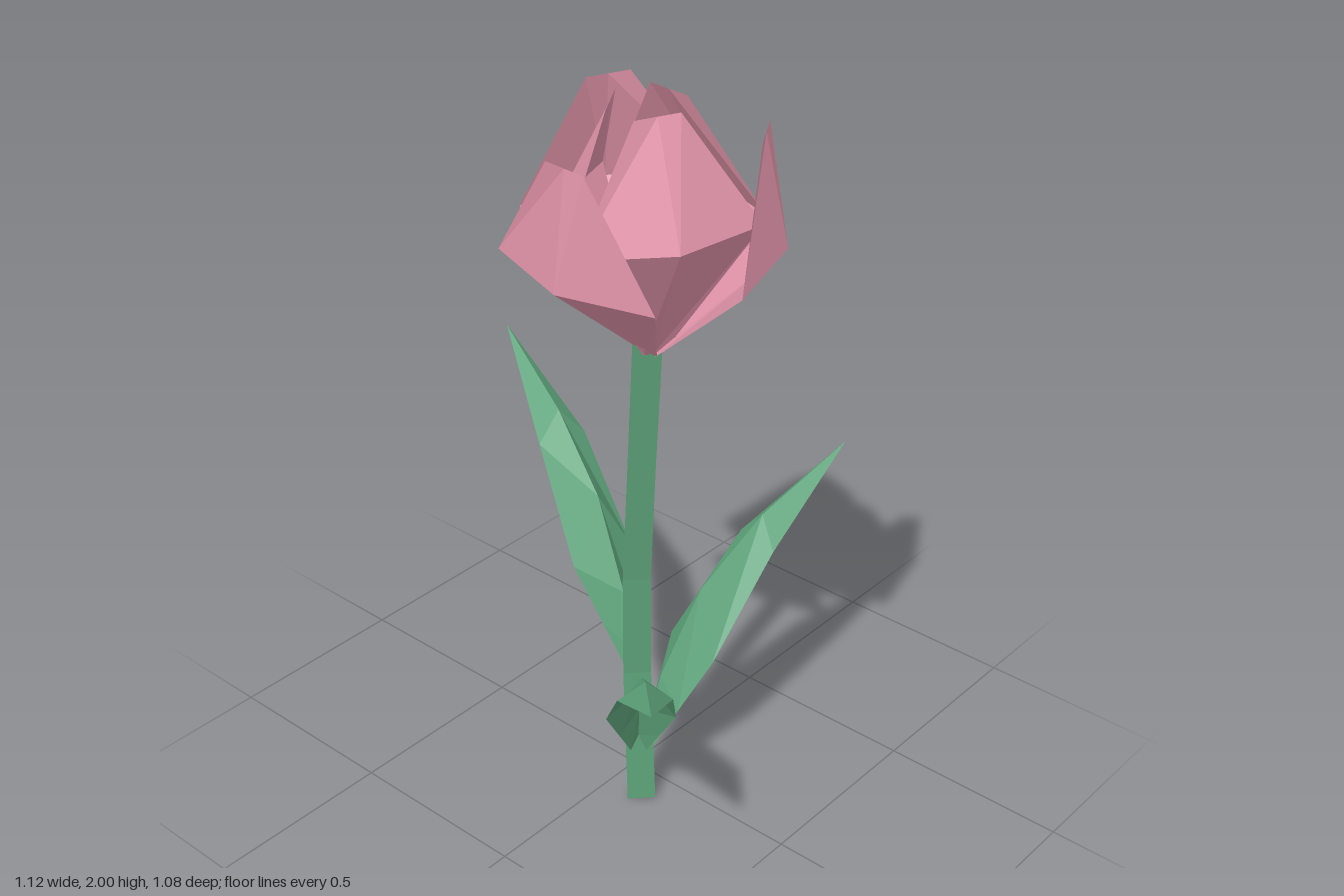
import * as THREE from 'three';

const green = new THREE.MeshStandardMaterial({ color: 0x5fa57c, flatShading: true, side: THREE.DoubleSide });
const pink = new THREE.MeshStandardMaterial({ color: 0xe596ac, flatShading: true, side: THREE.DoubleSide });

// Faceted surface through rows of points, each row having the same count
function loft(name, rows, material) {
  const n = rows[0].length;
  const index = [];
  for (let i = 0; i < rows.length - 1; i++) {
    for (let j = 0; j < n - 1; j++) {
      const a = i * n + j, b = a + 1, c = a + n, d = c + 1;
      index.push(a, b, d, a, d, c);
    }
  }
  const indexed = new THREE.BufferGeometry();
  indexed.setAttribute('position', new THREE.Float32BufferAttribute(rows.flat(2), 3));
  indexed.setIndex(index);
  const geometry = indexed.toNonIndexed();
  geometry.computeVertexNormals();
  const mesh = new THREE.Mesh(geometry, material);
  mesh.name = name;
  return mesh;
}

// Point at distance r along a horizontal direction, shifted sideways by w
function polar(angle, r, w, y) {
  const c = Math.cos(angle), s = Math.sin(angle);
  return [c * r + s * w, y, s * r - c * w];
}

// Curved three-sided stem
function makeStem() {
  const path = [
    // x, y, z, radius
    [-0.085, 0, 0.097, 0.042],
    [-0.083, 0.4, 0.08, 0.041],
    [-0.1, 0.7, 0.093, 0.04],
    [-0.122, 1.06, 0.128, 0.039],
    [-0.147, 1.42, 0.167, 0.04],
  ];
  const rows = path.map(([x, y, z, r]) =>
    [0, 1, 2, 3].map((k) => {
      const a = 1.29 - (k * Math.PI * 2) / 3;
      return [x + r * Math.cos(a), y, z + r * Math.sin(a)];
    }));
  // Closing caps
  const cap = ([x, y, z]) => Array(4).fill([x, y, z]);
  return loft('stem', [cap(path[0]), ...rows, cap(path[4])], green);
}

// Pointed leaf folded along a raised central rib
function makeLeaf(name, [tipX, tipZ], baseY, rise) {
  const angle = Math.atan2(tipZ - 0.09, tipX + 0.088);
  const reach = Math.hypot(tipX + 0.088, tipZ - 0.09) / 0.66;
  const stations = [
    // rib reach, rib height, edge reach, edge height, half width
    [0.02, 0.05, 0.03, 0, 0.02],
    [0.07, 0.2, 0.09, 0.11, 0.05],
    [0.195, 0.42, 0.17, 0.25, 0.087],
    [0.39, 0.575, 0.375, 0.5, 0.066],
    [0.66, 0.7, 0.66, 0.7, 0],
  ];
  const rows = stations.map(([rr, ry, er, ey, w]) => [
    polar(angle, er * reach, -w, ey * rise),
    polar(angle, rr * reach, 0, ry * rise),
    polar(angle, er * reach, w, ey * rise),
  ]);
  const leaf = loft(name, rows, green);
  leaf.position.set(-0.088, baseY, 0.09);
  return leaf;
}

// Cupped petal: narrow base, wide bulging middle, blunt tip
function makePetal(name, angle, p) {
  const base = [-0.025, 0, 0.025].map((w) => polar(angle, 0.012, w, 0));
  const middle = [
    polar(angle, p.edge, -p.half, p.midY),
    polar(angle, p.bulge, 0, p.midY),
    polar(angle, p.edge, p.half, p.midY),
  ];
  const tip = [-0.052, 0, 0.052].map((w) => polar(angle, p.tip, w, p.tipY));
  return loft(name, [base, middle, tip], pink);
}

export function createModel() {
  const model = new THREE.Group();
  model.name = 'flower';
  model.add(makeStem());

  // Leaves
  model.add(makeLeaf('leftLeaf', [0.56, 0.24], 0.15, 1));
  model.add(makeLeaf('backLeaf', [0.11, -0.54], 0.4, 1));
  model.add(makeLeaf('frontRightLeaf', [-0.56, 0.54], 0.165, 0.85));

  // Blossom tilted to follow the stem
  const blossom = new THREE.Group();
  blossom.name = 'blossom';
  blossom.position.set(-0.145, 1.375, 0.18);
  blossom.quaternion.setFromUnitVectors(
    new THREE.Vector3(0, 1, 0),
    new THREE.Vector3(-0.09, 1, 0.044).normalize());
  const outer = { edge: 0.24, bulge: 0.305, half: 0.225, midY: 0.295, tip: 0.255, tipY: 0.572 };
  const inner = { edge: 0.145, bulge: 0.205, half: 0.21, midY: 0.36, tip: 0.075, tipY: 0.622 };
  for (let i = 0; i < 3; i++) {
    const a = (i * Math.PI * 2) / 3;
    blossom.add(makePetal('innerPetal' + (i + 1), a, inner));
    blossom.add(makePetal('outerPetal' + (i + 1), a + Math.PI / 3, outer));
  }
  model.add(blossom);
  return model;
}
